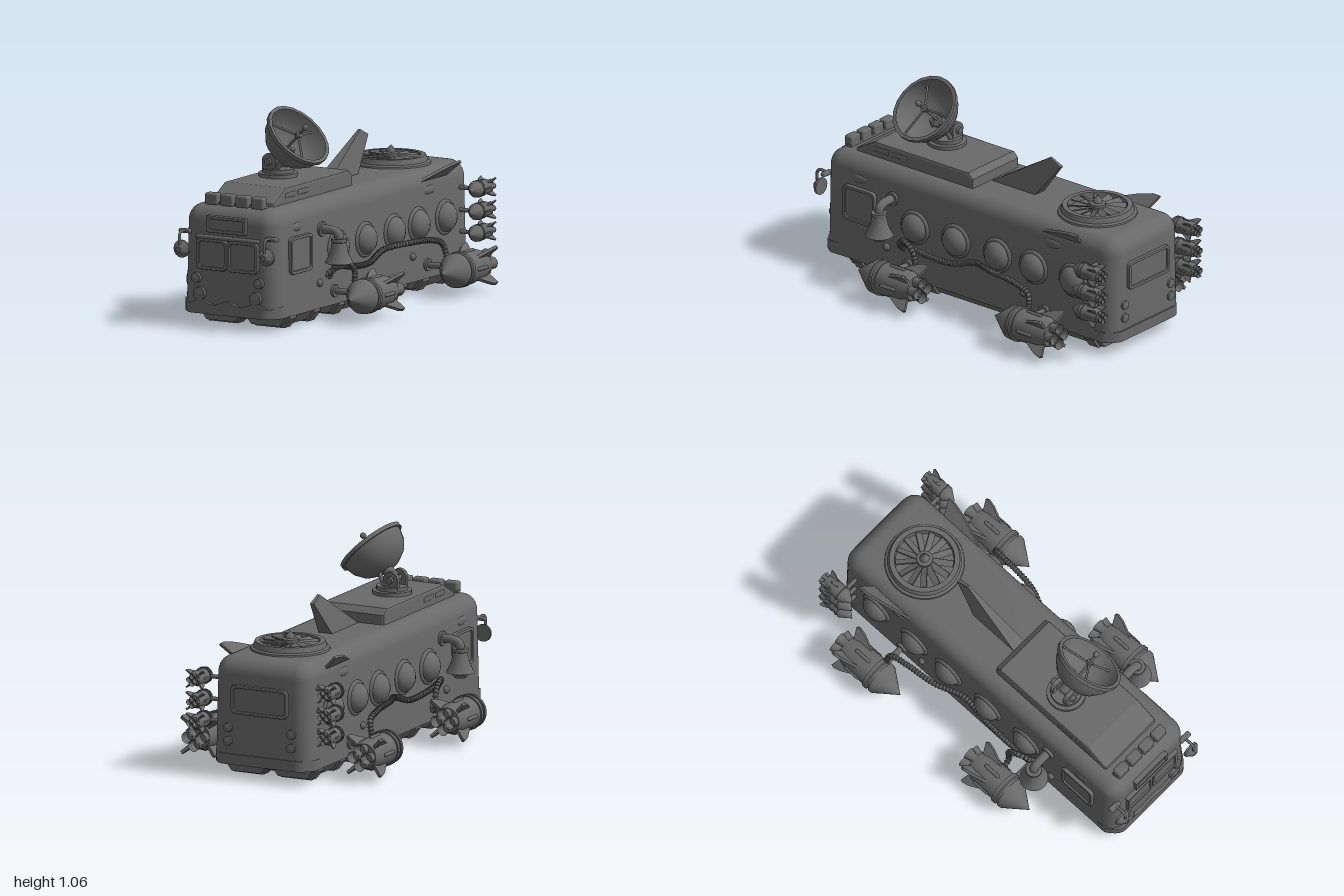
import * as THREE from 'three';
import { toCreasedNormals } from 'three/addons/utils/BufferGeometryUtils.js';
import { RoundedBoxGeometry } from 'three/addons/geometries/RoundedBoxGeometry.js';

const mat = new THREE.MeshStandardMaterial({ color: 0x696969, side: THREE.DoubleSide });
const V = (x, y, z) => new THREE.Vector3(x, y, z);
const Y = V(0, 1, 0);

function add(parent, name, geo, x = 0, y = 0, z = 0) {
  const m = new THREE.Mesh(geo, mat);
  m.name = name;
  m.position.set(x, y, z);
  parent.add(m);
  return m;
}
function group(parent, name, x = 0, y = 0, z = 0) {
  const g = new THREE.Group();
  g.name = name;
  g.position.set(x, y, z);
  parent.add(g);
  return g;
}
const box = (w, h, d) => new THREE.BoxGeometry(w, h, d);
const rbox = (w, h, d, r) => new RoundedBoxGeometry(w, h, d, 2, r);
const lathe = (pts, n = 24) =>
  toCreasedNormals(new THREE.LatheGeometry(pts.map(p => new THREE.Vector2(...p)), n), 0.6);
const polygon = pts => new THREE.Shape(pts.map(p => new THREE.Vector2(...p)));
const extrude = (shape, depth, bevel = 0) => new THREE.ExtrudeGeometry(shape, {
  depth: depth - 2 * bevel, bevelEnabled: bevel > 0, bevelSize: bevel, bevelThickness: bevel,
  bevelOffset: -bevel, bevelSegments: 2, curveSegments: 5,
}).translate(0, 0, bevel - depth / 2);
// Outline given as (z, y), extruded across the width
const sideExtrude = (pts, width, bevel) => extrude(polygon(pts), width, bevel).rotateY(-Math.PI / 2);

function rod(parent, name, a, b, r) {
  const m = add(parent, name, new THREE.CylinderGeometry(r, r, a.distanceTo(b), 10));
  m.position.copy(a).lerp(b, 0.5);
  m.quaternion.setFromUnitVectors(Y, b.clone().sub(a).normalize());
}
function reshape(geo, rule) {
  const p = geo.attributes.position, v = V(0, 0, 0);
  for (let i = 0; i < p.count; i++) {
    v.fromBufferAttribute(p, i);
    rule(v);
    p.setXYZ(i, v.x, v.y, v.z);
  }
  return toCreasedNormals(geo, 0.6);
}
function roundRect(s, w, h, r) {
  const x = w / 2, y = h / 2;
  s.moveTo(r - x, -y).lineTo(x - r, -y).quadraticCurveTo(x, -y, x, r - y)
    .lineTo(x, y - r).quadraticCurveTo(x, y, x - r, y)
    .lineTo(r - x, y).quadraticCurveTo(-x, y, -x, y - r)
    .lineTo(-x, r - y).quadraticCurveTo(-x, -y, r - x, -y);
  return s;
}
// Raised frame with a recessed pane, facing +z
function framedPanel(parent, name, w, h, x, y, z, r = 0.03) {
  const g = group(parent, name, x, y, z), s = roundRect(new THREE.Shape(), w, h, r);
  s.holes.push(roundRect(new THREE.Path(), w - 0.032, h - 0.032, r * 0.7));
  add(g, 'frame', extrude(s, 0.036, 0.004));
  add(g, 'pane', box(w - 0.02, h - 0.02, 0.016));
  return g;
}

// Rocket along z with its nose tip at the origin
function rocket(parent, name, x, y, z, size = 1) {
  const g = group(parent, name, x, y, z);
  g.scale.setScalar(size);
  add(g, 'hull', lathe([[0, -0.375], [0.065, -0.375], [0.08, -0.33], [0.084, -0.18], [0.092, -0.18],
    [0.092, -0.16], [0.083, -0.155], [0.083, -0.14], [0.09, -0.14], [0.088, -0.12], [0, 0]]).rotateX(Math.PI / 2));
  const fin = sideExtrude([[-0.23, 0.07], [-0.33, 0.125], [-0.37, 0.136], [-0.385, 0.13], [-0.36, 0.055]], 0.016);
  for (let i = 0; i < 4; i++) {
    const a = i * Math.PI / 2;
    add(g, 'fin', fin).rotation.z = a + Math.PI / 4;
    add(g, 'nozzle', lathe([[0.032, -0.425], [0.024, -0.395], [0.026, -0.36]], 12).rotateX(Math.PI / 2),
      0.038 * Math.cos(a), 0.038 * Math.sin(a), 0);
    add(g, 'sideTank', new THREE.CapsuleGeometry(0.01, 0.08, 3, 8).rotateX(Math.PI / 2),
      0.081 * Math.cos(a), 0.081 * Math.sin(a), -0.26);
  }
}

// Wrap-around bumper with a wavy top edge, facing +z
function bumper(height, wave) {
  return reshape(new THREE.BoxGeometry(0.566, 1, 0.05, 48, 1, 1), v => {
    v.y = v.y < 0 ? 0.07 : height + wave * Math.cos(v.x * 40);
    v.z -= 0.07 * Math.pow(Math.max(0, Math.abs(v.x) - 0.2) / 0.083, 2);
  });
}

function buildBody(root) {
  const g = group(root, 'body');
  const shell = new RoundedBoxGeometry(0.564, 0.67, 1.89, 5, 0.085).translate(0, 0.285, -0.025);
  add(g, 'shell', reshape(shell, v => {
    v.y = Math.max(v.y, 0.07);
    v.x *= 1 - (v.y - 0.07) * 0.1;
  }));
  // Front face
  add(g, 'frontBumper', bumper(0.13, 0.011), 0, 0, 0.913);
  for (const s of [-1, 1]) framedPanel(g, 'windscreen', 0.18, 0.16, s * 0.091, 0.375, 0.92);
  add(g, 'windscreenBrow', rbox(0.37, 0.02, 0.04, 0.008), 0, 0.462, 0.92);
  framedPanel(g, 'signBox', 0.23, 0.085, -0.005, 0.53, 0.92, 0.006);
  // Back face
  add(g, 'rearBumper', bumper(0.125, 0), 0, 0, -0.953).rotation.y = Math.PI;
  framedPanel(g, 'rearWindow', 0.32, 0.15, 0, 0.41, -0.97);

  const lamp = r => lathe([[0, -0.02], [r, -0.02], [r, 0.012], [r * 0.8, 0.012], [0, 0.022]], 16).rotateX(Math.PI / 2);
  for (const s of [-1, 1]) {
    add(g, 'headlight', lamp(0.034), s * 0.165, 0.17, 0.925);
    add(g, 'upperLamp', lamp(0.026), s * 0.185, 0.25, 0.925);
    for (const y of [0.19, 0.26]) add(g, 'tailLamp', lamp(0.024), s * 0.18, y, -0.97).rotation.y = Math.PI;
    framedPanel(g, 'sideWindow', 0.21, 0.19, s * 0.273, 0.375, 0.68).rotation.y = s * Math.PI / 2;
    // Domed portholes
    for (const z of [0.32, 0.053, -0.22, -0.455, -0.716]) {
      add(g, 'porthole', new THREE.SphereGeometry(0.078, 20, 14), s * 0.272, 0.355, z).scale.x = 0.8;
      add(g, 'portholeRing', new THREE.TorusGeometry(0.08, 0.012, 8, 24).rotateY(Math.PI / 2), s * 0.274, 0.355, z);
    }
    for (const z of [0.69, -0.575]) {
      add(g, 'sideVent', new THREE.SphereGeometry(0.03, 14, 8), s * 0.262, 0.515, z).scale.set(0.5, 0.85, 2);
    }
    // Diagonal tail fins
    const fin = sideExtrude([[-0.49, 0], [-0.66, 0.075], [-0.74, 0.1], [-0.785, 0.1], [-0.75, 0]], 0.014);
    add(g, 'tailFin', fin, s * 0.255, 0.565, 0).rotation.z = -s * 0.8;
    // Mirrors on bent arms
    const path = new THREE.CatmullRomCurve3([V(s * 0.25, 0.48, 0.9), V(s * 0.25, 0.485, 0.965),
      V(s * 0.25, 0.47, 0.98), V(s * 0.25, 0.4, 0.98)]);
    add(g, 'mirrorArm', new THREE.TubeGeometry(path, 14, 0.008, 6));
    add(g, 'mirrorMount', rbox(0.07, 0.022, 0.03, 0.008), s * 0.255, 0.48, 0.915);
    add(g, 'mirror', lathe([[0, -0.012], [0.045, -0.012], [0.045, 0], [0.015, 0.03], [0, 0.03]], 16).rotateX(Math.PI / 2),
      s * 0.25, 0.395, 0.965);
  }
  // Underbody trays and their ribs
  const half = [[0.25, 0.08], [0.25, 0.06], [0.215, 0.012], [0.05, 0.012], [0.025, 0.04]];
  const tray = polygon([...half, ...half.map(([x, y]) => [-x, y]).reverse()]);
  for (const [a, b] of [[0.42, 0.78], [-0.42, 0.31], [-0.87, -0.5]]) {
    add(g, 'underTray', extrude(tray, b - a), 0, 0, (a + b) / 2);
    for (const z of [a + 0.065, b - 0.065]) {
      add(g, 'trayRib', extrude(tray, 0.06), 0, -0.012, z).scale.x = 1.03;
    }
  }
  add(g, 'chassis', box(0.38, 0.03, 1.6), 0, 0.06, -0.03);
}

function buildRoof(root) {
  const g = group(root, 'roof');
  add(g, 'roofBox', sideExtrude([[0.79, 0.6], [0.78, 0.635], [0.66, 0.7], [0.05, 0.7], [0.02, 0.67], [0.02, 0.6]], 0.365, 0.012));
  for (const x of [-0.135, -0.045, 0.045, 0.135]) add(g, 'roofLamp', rbox(0.075, 0.06, 0.05, 0.01), x, 0.645, 0.845);
  add(g, 'lampBar', box(0.35, 0.02, 0.03), 0, 0.622, 0.835);
  for (const s of [-1, 1]) for (const z of [0.62, 0.5]) add(g, 'roofSlot', rbox(0.02, 0.025, 0.1, 0.006), s * 0.176, 0.66, z);
  // Tapering roof fin
  add(g, 'roofFin', reshape(sideExtrude([[0.03, 0.61], [-0.34, 0.835], [-0.41, 0.8], [-0.26, 0.61]], 0.08),
    v => { v.x *= 1 - (v.y - 0.61) * 3.8; }));
  // Fan
  const fan = group(g, 'fan', 0, 0, -0.645);
  add(fan, 'fanHousing', lathe([[0.205, 0.61], [0.2, 0.628], [0.187, 0.635], [0.178, 0.662], [0.152, 0.662], [0.148, 0.628], [0, 0.628]], 36));
  add(fan, 'fanHub', lathe([[0.042, 0.62], [0.042, 0.67], [0.025, 0.675], [0.02, 0.69], [0, 0.712]], 16));
  for (let i = 0; i < 13; i++) {
    const blade = group(fan, 'blade', 0, 0.648, 0);
    blade.rotation.y = i * Math.PI * 2 / 13;
    add(blade, 'bladePlate', box(0.11, 0.006, 0.034), 0.092).rotation.x = 0.5;
  }
  // Dish on a pivoting mount
  const mount = group(g, 'dishMount', -0.04, 0.7, 0.375);
  add(mount, 'turntable', lathe([[0.1, -0.01], [0.1, 0.018], [0.08, 0.02], [0.08, 0.04], [0, 0.04]], 28));
  for (const z of [-0.045, 0.045]) {
    add(mount, 'bracket', box(0.08, 0.05, 0.022), -0.02, 0.055, z);
    add(mount, 'pivotDisc', new THREE.CylinderGeometry(0.042, 0.042, 0.024, 18).rotateX(Math.PI / 2), -0.02, 0.078, z);
    rod(mount, 'dishBrace', V(0.02, 0.04, z), V(0.075, 0.14, z * 0.7 + 0.01), 0.012);
  }
  add(mount, 'pivotPin', new THREE.CylinderGeometry(0.018, 0.018, 0.15, 12).rotateX(Math.PI / 2), -0.02, 0.078, 0);
  rod(mount, 'dishArm', V(-0.02, 0.078, 0), V(0.06, 0.135, 0.01), 0.03);
  const dish = group(g, 'dish', 0.1, 0.925, 0.405);
  dish.quaternion.setFromUnitVectors(Y, V(0.7, 0.7, 0.07).normalize());
  add(dish, 'bowl', lathe([[0, -0.165], [0.065, -0.153], [0.12, -0.122], [0.158, -0.07], [0.172, -0.018], [0.184, -0.018],
    [0.184, 0.003], [0.165, 0.003], [0.15, -0.065], [0.113, -0.113], [0.06, -0.143], [0, -0.153]], 20));
  rod(dish, 'feedMast', V(0, -0.155, 0), V(0, 0.06, 0), 0.007);
  add(dish, 'feedBall', new THREE.SphereGeometry(0.016, 12, 8), 0, 0.06, 0);
  add(dish, 'feedHub', new THREE.CylinderGeometry(0.02, 0.013, 0.025, 12), 0, -0.005, 0);
  for (let i = 0; i < 3; i++) {
    const a = i * Math.PI * 2 / 3 + 0.5;
    rod(dish, 'feedStrut', V(0.16 * Math.cos(a), -0.04, 0.16 * Math.sin(a)), V(0, -0.005, 0), 0.006);
  }
}

function buildSideGear(root, s) {
  const g = group(root, s > 0 ? 'leftGear' : 'rightGear');
  // Large rockets on struts
  for (const z of [0.53, -0.365]) {
    rocket(g, 'rocket', s * 0.472, 0.132, z);
    rod(g, 'rocketStrut', V(s * 0.26, 0.14, z - 0.168), V(s * 0.42, 0.14, z - 0.168), 0.016);
    rod(g, 'strutFlange', V(s * 0.27, 0.14, z - 0.168), V(s * 0.295, 0.14, z - 0.168), 0.032);
    add(g, 'sideBolt', new THREE.SphereGeometry(0.02, 10, 8), s * 0.28, 0.2, z - 0.03);
  }
  // Small rear rockets
  for (const y of [0.485, 0.37, 0.26]) {
    rocket(g, 'smallRocket', s * 0.374, y, -0.79, 0.48);
    rod(g, 'smallStrut', V(s * 0.25, y, -0.865), V(s * 0.36, y, -0.865), 0.011);
  }
  // Horn on an elbow pipe
  const elbow = new THREE.CatmullRomCurve3([V(s * 0.26, 0.47, 0.47), V(s * 0.34, 0.47, 0.47),
    V(s * 0.372, 0.455, 0.47), V(s * 0.378, 0.42, 0.47)]);
  add(g, 'hornPipe', new THREE.TubeGeometry(elbow, 16, 0.023, 12));
  rod(g, 'hornFlange', V(s * 0.26, 0.47, 0.47), V(s * 0.285, 0.47, 0.47), 0.038);
  add(g, 'horn', lathe([[0, 0.275], [0.03, 0.28], [0.045, 0.3], [0.073, 0.308], [0.068, 0.315], [0.047, 0.36],
    [0.036, 0.412], [0.041, 0.415], [0.041, 0.432], [0, 0.432]], 20), s * 0.378, 0, 0.47);
  // Ribbed hoses
  const hoses = [
    [[0.26, 0.22, 0.44], [0.31, 0.265, 0.36], [0.315, 0.25, 0.25], [0.305, 0.24, 0.06], [0.3, 0.285, -0.09], [0.355, 0.3, -0.24],
      [0.375, 0.29, -0.42], [0.385, 0.26, -0.51], [0.405, 0.18, -0.53]],
    [[0.26, 0.2, 0.4], [0.31, 0.27, 0.385], [0.335, 0.29, 0.33], [0.345, 0.24, 0.27], [0.35, 0.15, 0.27], [0.4, 0.13, 0.28]],
  ];
  for (const pts of hoses) {
    const curve = new THREE.CatmullRomCurve3(pts.map(([x, y, z]) => V(s * x, y, z)));
    const n = Math.round(curve.getLength() / 0.018);
    add(g, 'hose', new THREE.TubeGeometry(curve, n * 2, 0.013, 8));
    for (let i = 0; i <= n; i++) {
      const ring = add(g, 'hoseRing', new THREE.TorusGeometry(0.013, 0.004, 5, 10));
      ring.position.copy(curve.getPointAt(i / n));
      ring.quaternion.setFromUnitVectors(V(0, 0, 1), curve.getTangentAt(i / n));
    }
  }
}

export function createModel() {
  const root = new THREE.Group();
  root.name = 'rocketBus';
  buildBody(root);
  buildRoof(root);
  for (const s of [-1, 1]) buildSideGear(root, s);
  return root;
}
